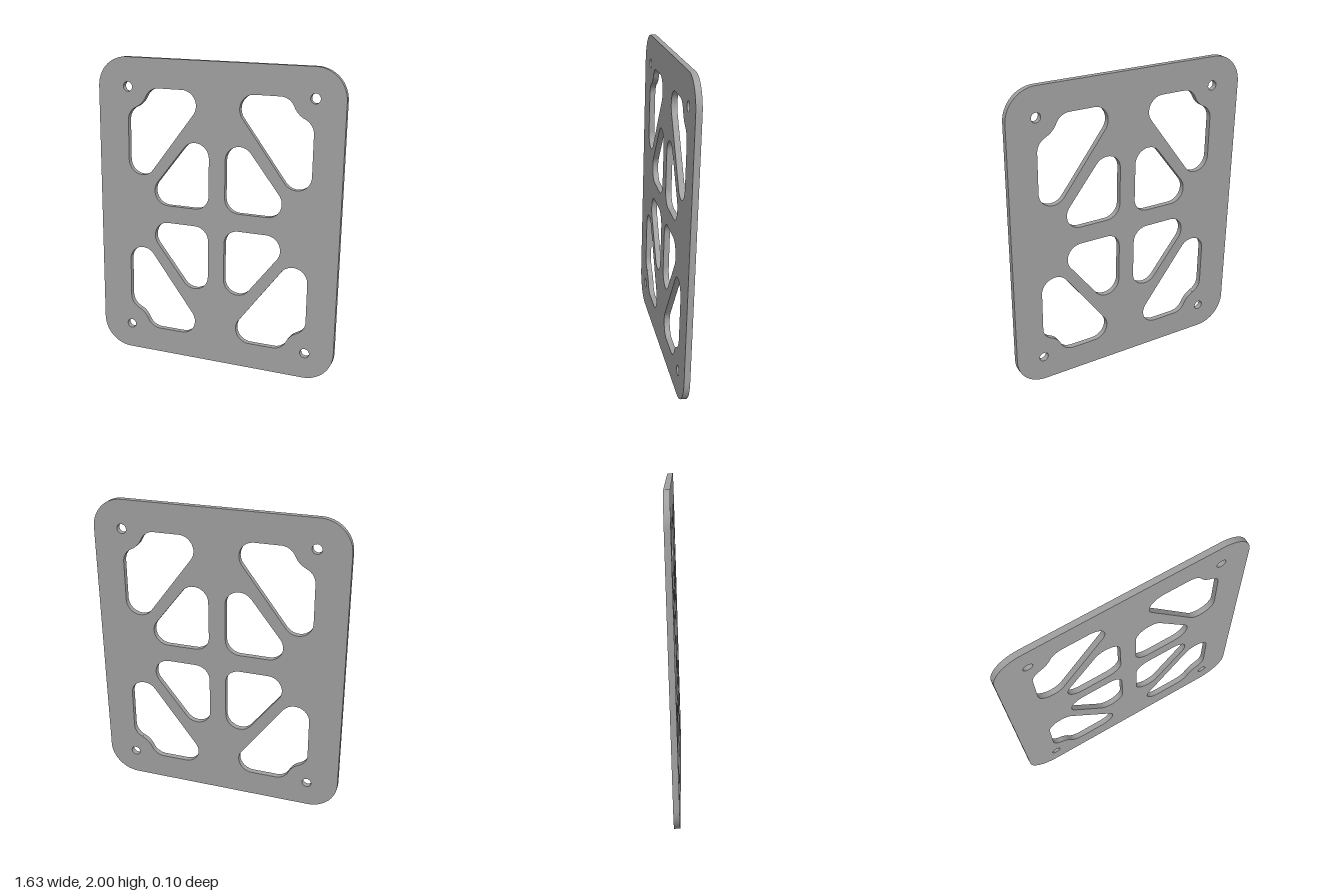
import * as THREE from 'three';
import { toCreasedNormals } from 'three/addons/utils/BufferGeometryUtils.js';

const PI = Math.PI;
const W = 0.817, H = 1.0, CORNER = 0.195;  // plate half width, half height, corner radius
const T = 0.037, TILT = 0.0305;            // thickness and backward lean
const CX = 0.009, CY = -0.008;             // centre of the cutout pattern
const R = 0.095;                           // cutout corner radius
const SLOPE = 0.65;                        // direction the diagonal edges face

// Points of an outline made of arcs [x, y, radius, start, end] joined by straight lines
function outline(arcs, sx = 1, sy = 1, ox = 0, oy = 0) {
  const points = [];
  for (const [x, y, r, a, b] of arcs) {
    const n = Math.max(4, Math.ceil(Math.abs(b - a) / 0.13));
    for (let i = 0; i <= n; i++) {
      const t = a + (b - a) * i / n;
      points.push(new THREE.Vector2(ox + sx * (x + r * Math.cos(t)), oy + sy * (y + r * Math.sin(t))));
    }
  }
  return points;
}

// Rounded triangle near the centre
const innerCutout = [
  [0.338, 0.153, R, -PI / 2, SLOPE],
  [0.150, 0.396, R, SLOPE, PI],
  [0.150, 0.153, R, PI, 1.5 * PI],
];

// Corner cutout that curves around the screw hole
const outerCutout = [
  [0.523, 0.345, R, PI + SLOPE, 2 * PI],
  [0.523, 0.605, R, 0, 1.15],
  [0.619, 0.820, 0.14, PI + 1.15, PI + 0.416],
  [0.404, 0.725, R, 0.416, PI / 2],
  [0.240, 0.725, R, PI / 2, PI + SLOPE],
];

export function createModel() {
  const grey = new THREE.MeshStandardMaterial({ color: 0xa0a0a0 });
  grey.name = 'grey';

  // Plate outline
  const x = W - CORNER, y = H - CORNER;
  const shape = new THREE.Shape(outline([
    [x, -y, CORNER, -PI / 2, 0],
    [x, y, CORNER, 0, PI / 2],
    [-x, y, CORNER, PI / 2, PI],
    [-x, -y, CORNER, PI, 1.5 * PI],
  ]));

  // Cutouts and screw hole mirrored into each quarter
  for (const sx of [1, -1]) {
    for (const sy of [1, -1]) {
      for (const arcs of [innerCutout, outerCutout]) {
        shape.holes.push(new THREE.Path(outline(arcs, sx, sy, CX, CY)));
      }
      const screw = new THREE.Path();
      screw.absarc(CX + sx * 0.619, CY + sy * 0.82, 0.031, 0, 2 * PI, true);
      shape.holes.push(screw);
    }
  }

  const geometry = new THREE.ExtrudeGeometry(shape, { depth: T, bevelEnabled: false, curveSegments: 12 });
  geometry.translate(0, 0, -T / 2);

  const plate = new THREE.Mesh(toCreasedNormals(geometry, 0.7), grey);
  plate.name = 'plate';
  plate.rotation.x = -TILT;
  plate.position.y = 1;

  const model = new THREE.Group();
  model.name = 'ventedPlate';
  model.add(plate);
  return model;
}
